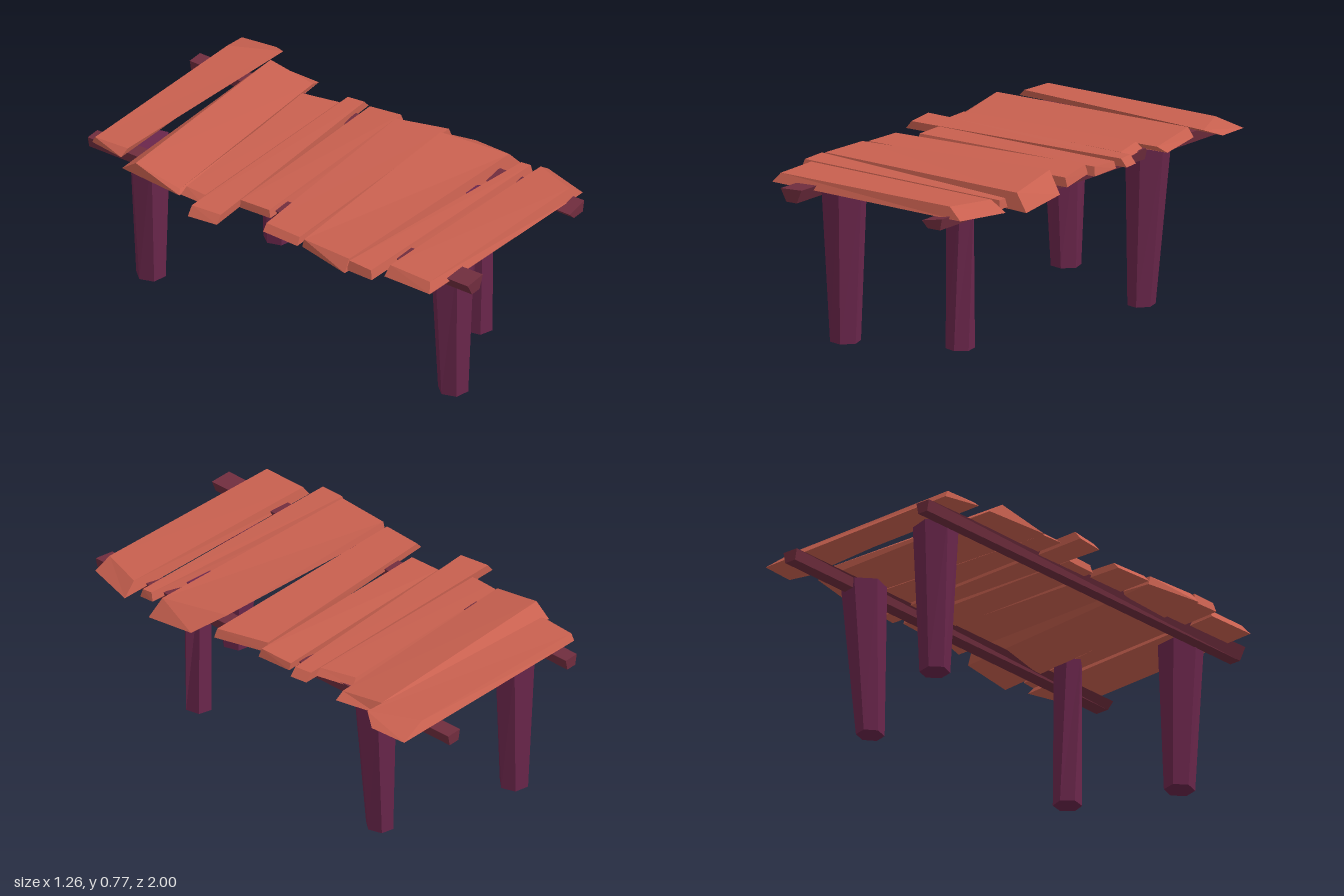
import * as THREE from 'three';

const mat = (name, color) => {
  const m = new THREE.MeshStandardMaterial({ color, flatShading: true });
  m.name = name;
  return m;
};

// Irregular six-sided block: corners run back-left, back-right, front-right, front-left
function block(top, bottom, material, name) {
  const v = [...top, ...bottom];
  const quads = [[0, 3, 2, 1], [4, 5, 6, 7], [3, 7, 6, 2], [2, 6, 5, 1], [1, 5, 4, 0], [0, 4, 7, 3]];
  const pos = [];
  for (const [a, b, c, d] of quads) for (const i of [a, b, c, a, c, d]) pos.push(...v[i]);
  const g = new THREE.BufferGeometry();
  g.setAttribute('position', new THREE.Float32BufferAttribute(pos, 3));
  g.computeVertexNormals();
  const mesh = new THREE.Mesh(g, material);
  mesh.name = name;
  return mesh;
}

// Tapered, leaning and slightly twisted six-sided post; ends are [x, y, z, radiusX, radiusZ, turn]
function post(low, high, material, name) {
  const g = new THREE.CylinderGeometry(1, 1, 1, 6).toNonIndexed();
  const p = g.attributes.position;
  for (let i = 0; i < p.count; i++) {
    const [x, y, z, rx, rz, turn] = p.getY(i) > 0 ? high : low;
    const c = Math.cos(turn), s = Math.sin(turn), px = p.getX(i), pz = p.getZ(i);
    p.setXYZ(i, x + rx * (px * c + pz * s), y, z + rz * (pz * c - px * s));
  }
  g.computeVertexNormals();
  const mesh = new THREE.Mesh(g, material);
  mesh.name = name;
  return mesh;
}

export function createModel() {
  const group = new THREE.Group();
  const plankMat = mat('red wood', 0xc8604f);
  const beamMat = mat('dark red wood', 0x702d3e);
  const legMat = mat('purple wood', 0x6a264b);

  // Deck planks: top corners, underside height, and how far the underside
  // spreads beyond the top at the left, right, back and front
  let n = 0;
  const plank = (top, y, left, right, back, front) => {
    const [bl, br, fr, fl] = top;
    const bottom = [
      [bl[0] - left, y, bl[2] - back], [br[0] + right, y, br[2] - back],
      [fr[0] + right, y, fr[2] + front], [fl[0] - left, y, fl[2] + front],
    ];
    group.add(block(top, bottom, plankMat, 'plank' + ++n));
  };
  plank([[-0.51, 0.745, 0.66], [0.49, 0.75, 0.73], [0.42, 0.75, 0.93], [-0.515, 0.74, 0.87]], 0.7, 0.03, 0.07, 0.01, 0.02);
  plank([[-0.575, 0.74, 0.495], [0.49, 0.735, 0.63], [0.495, 0.735, 0.675], [-0.58, 0.735, 0.61]], 0.695, 0.01, 0.005, 0.01, 0.01);
  // Tilted plank with a raised corner
  group.add(block(
    [[-0.55, 0.74, 0.24], [0.44, 0.77, 0.245], [0.5, 0.745, 0.56], [-0.565, 0.74, 0.485]],
    [[-0.55, 0.7, 0.23], [0.565, 0.7, 0.34], [0.565, 0.67, 0.58], [-0.605, 0.69, 0.49]], plankMat, 'plank' + ++n));
  plank([[-0.53, 0.735, 0.03], [0.45, 0.745, 0.005], [0.515, 0.745, 0.235], [-0.54, 0.735, 0.21]], 0.705, 0.025, 0.015, 0, 0.005);
  plank([[-0.445, 0.735, -0.165], [0.485, 0.73, -0.155], [0.495, 0.74, 0], [-0.44, 0.735, -0.02]], 0.7, 0.005, 0.01, 0, 0.01);
  plank([[-0.605, 0.74, -0.305], [0.485, 0.735, -0.27], [0.495, 0.735, -0.19], [-0.59, 0.735, -0.165]], 0.7, 0.03, 0.03, 0, 0);
  plank([[-0.495, 0.74, -0.41], [0.39, 0.74, -0.44], [0.43, 0.735, -0.275], [-0.5, 0.735, -0.31]], 0.71, 0.03, 0.03, 0.01, 0);
  // Plank that rises towards its back edge
  group.add(block(
    [[-0.51, 0.77, -0.665], [0.49, 0.77, -0.675], [0.49, 0.73, -0.455], [-0.51, 0.725, -0.435]],
    [[-0.505, 0.715, -0.74], [0.52, 0.73, -0.675], [0.54, 0.71, -0.46], [-0.535, 0.71, -0.42]], plankMat, 'plank' + ++n));
  // Rear plank, undercut along its front
  group.add(block(
    [[-0.435, 0.765, -0.93], [0.475, 0.77, -0.89], [0.575, 0.77, -0.67], [-0.435, 0.77, -0.76]],
    [[-0.435, 0.735, -0.945], [0.61, 0.735, -0.91], [0.625, 0.74, -0.74], [-0.47, 0.74, -0.77]], plankMat, 'plank' + ++n));

  // Long support beams, narrower below
  group.add(block(
    [[-0.39, 0.715, -1], [-0.32, 0.715, -1], [-0.31, 0.72, 1], [-0.42, 0.715, 1]],
    [[-0.38, 0.665, -1], [-0.33, 0.665, -1], [-0.335, 0.66, 1], [-0.39, 0.66, 1]], beamMat, 'rightBeam'));
  group.add(block(
    [[0.355, 0.715, -1], [0.43, 0.715, -1], [0.43, 0.71, 1], [0.325, 0.69, 1]],
    [[0.365, 0.665, -1], [0.42, 0.665, -1], [0.42, 0.66, 1], [0.355, 0.66, 1]], beamMat, 'leftBeam'));

  // Four uneven legs
  group.add(post([-0.233, 0.03, 0.79, 0.066, 0.068, 0.3], [-0.24, 0.705, 0.79, 0.104, 0.094, 0.35], legMat, 'frontRightLeg'));
  group.add(post([0.228, 0.03, 0.595, 0.062, 0.063, 0.2], [0.23, 0.705, 0.6, 0.074, 0.054, 0.5], legMat, 'frontLeftLeg'));
  group.add(post([0.347, 0, -0.537, 0.058, 0.065, 0.3], [0.38, 0.705, -0.54, 0.098, 0.1, 0.3], legMat, 'backLeftLeg'));
  group.add(post([-0.233, 0.03, -0.783, 0.066, 0.066, 0.3], [-0.24, 0.705, -0.785, 0.1, 0.094, 0.2], legMat, 'backRightLeg'));

  return group;
}
